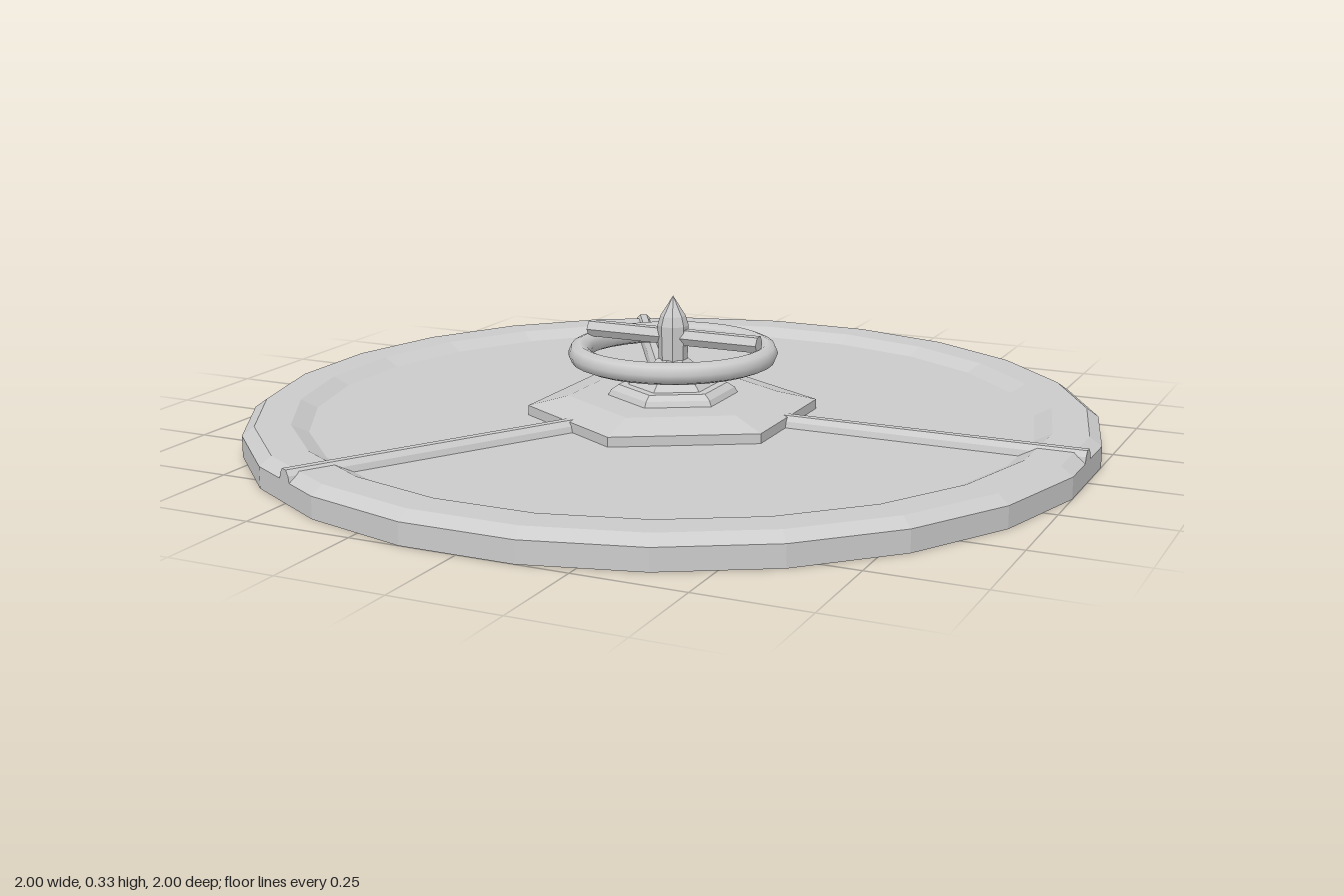
import * as THREE from 'three';

const flat = new THREE.MeshStandardMaterial({ color: 0xcccccc, flatShading: true, side: THREE.DoubleSide });
const smooth = new THREE.MeshStandardMaterial({ color: 0xcccccc });

// Faceted turned part from [radius, height] pairs
function turned(name, profile, sides, phase = 0) {
  const points = profile.map(([r, y]) => new THREE.Vector2(r, y));
  const mesh = new THREE.Mesh(new THREE.LatheGeometry(points, sides, phase), flat);
  mesh.name = name;
  return mesh;
}

export function createModel() {
  const group = new THREE.Group();
  group.name = 'hatchCover';

  // Thin cover shell, open underneath, with a raised rim and recessed centre
  const k = 1 / Math.cos(Math.PI / 24); // flat-to-corner radius
  group.add(turned('coverDisc', [
    [k, 0], [k, 0.05], [0.972 * k, 0.07], [0.89 * k, 0.07], [0.85 * k, 0.05], [0, 0.05],
  ], 24, Math.PI / 24));

  // Three locking bars running from the hub to the edge
  const section = new THREE.Shape([
    [-0.024, 0.05], [0.024, 0.05], [0.02, 0.064], [0.009, 0.076], [-0.009, 0.076], [-0.02, 0.064],
  ].map(([x, y]) => new THREE.Vector2(x, y)));
  const barGeometry = new THREE.ExtrudeGeometry(section, { depth: 1, bevelEnabled: false });
  for (let i = 0; i < 3; i++) {
    const bar = new THREE.Mesh(barGeometry, flat);
    bar.name = 'lockingBar' + (i + 1);
    bar.rotation.y = Math.PI / 2 + (i * Math.PI * 2) / 3;
    group.add(bar);
  }

  // Stepped hexagonal hub
  group.add(turned('hubBase', [
    [0.345, 0.05], [0.345, 0.073], [0.25, 0.095], [0, 0.095],
  ], 6));
  group.add(turned('hubCollar', [
    [0.155, 0.095], [0.148, 0.108], [0.13, 0.12], [0.107, 0.12], [0.036, 0.182], [0, 0.182],
  ], 6));

  // Pointed spindle
  group.add(turned('spindle', [
    [0.034, 0.17], [0.037, 0.262], [0.03, 0.285], [0, 0.333],
  ], 8, Math.PI / 8));

  // Hand wheel
  const wheel = new THREE.Mesh(new THREE.TorusGeometry(0.223, 0.026, 8, 32), smooth);
  wheel.name = 'handWheel';
  wheel.rotation.x = Math.PI / 2;
  wheel.position.y = 0.197;
  group.add(wheel);

  // Crossbar over the wheel, corners pointing to the front and back
  const crossbar = new THREE.Mesh(new THREE.CylinderGeometry(0.021, 0.021, 0.44, 6), flat);
  crossbar.name = 'wheelCrossbar';
  crossbar.rotation.z = Math.PI / 2;
  crossbar.position.y = 0.235;
  group.add(crossbar);

  return group;
}
